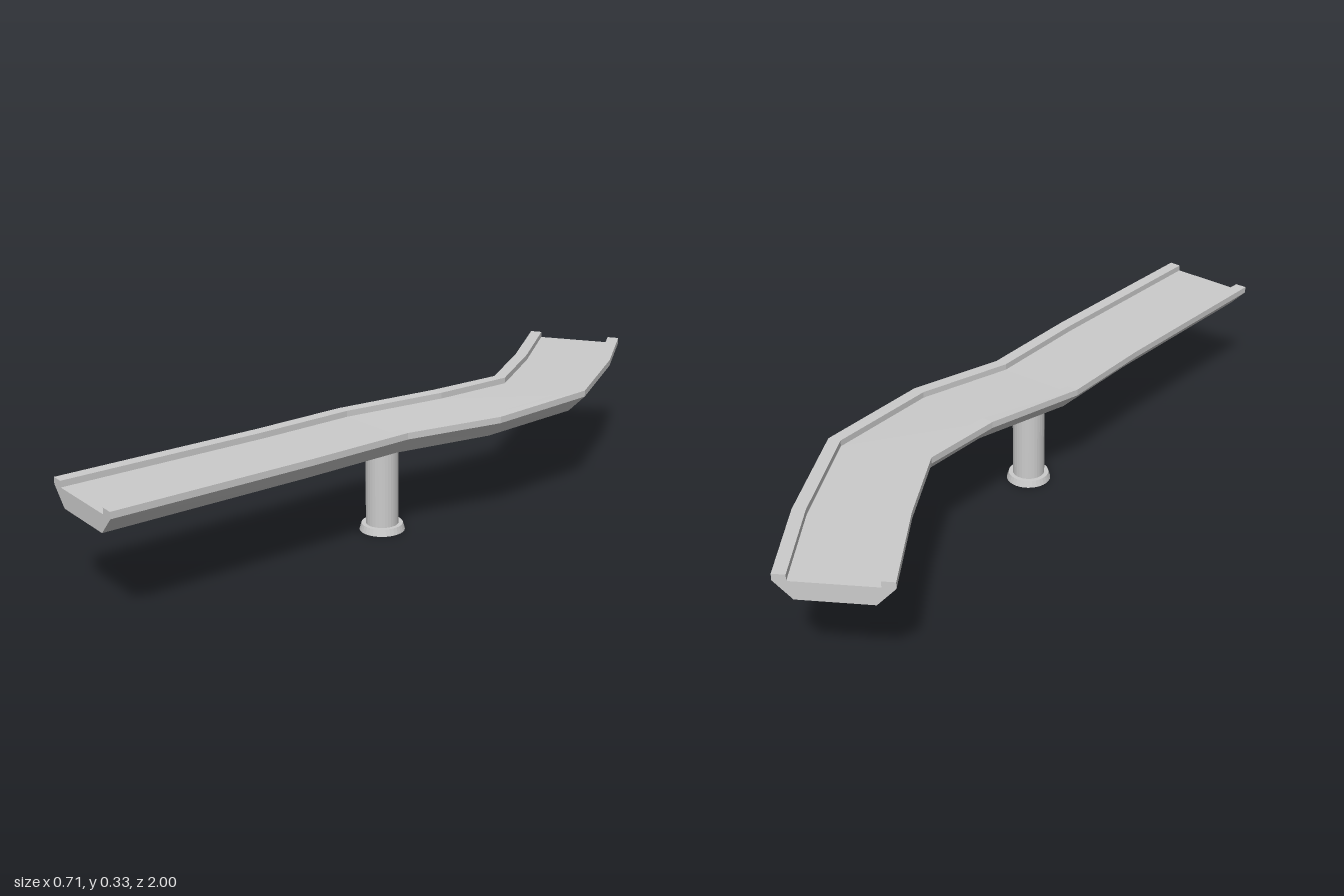
import * as THREE from 'three';

// Stations along the bridge: west edge x, z, top y, then east edge x, z, top y
const STATIONS = [
  [-0.354, 0.915, 0.321, -0.08, 1.0, 0.321],
  [-0.195, 0.36, 0.32, 0.074, 0.45, 0.32],
  [-0.128, 0.085, 0.319, 0.147, 0.15, 0.318],
  [0.003, -0.185, 0.327, 0.28, -0.095, 0.322],
  [0.068, -0.407, 0.325, 0.354, -0.43, 0.325],
  [-0.004, -0.65, 0.325, 0.264, -0.755, 0.325],
  [-0.104, -0.915, 0.325, 0.167, -1.0, 0.325],
];

// Cross-section: fraction across the width, depth below the top of the parapet
const SECTION = [
  [0, 0], [0.12, 0], [0.12, 0.017], [0.88, 0.017], [0.88, 0],
  [1, 0], [1, 0.018], [0.835, 0.067], [0.165, 0.067], [0, 0.018],
];

function deckGeometry() {
  const n = SECTION.length;
  const pos = [];
  const index = [];
  for (const [wx, wz, wy, ex, ez, ey] of STATIONS) {
    for (const [u, d] of SECTION) {
      pos.push(wx + (ex - wx) * u, wy + (ey - wy) * u - d, wz + (ez - wz) * u);
    }
  }
  const quad = (a, b, c, d) => index.push(a, b, c, a, c, d);
  // Skin between stations
  for (let s = 0; s < STATIONS.length - 1; s++) {
    for (let i = 0; i < n; i++) {
      const j = (i + 1) % n;
      quad(s * n + i, s * n + j, (s + 1) * n + j, (s + 1) * n + i);
    }
  }
  // End caps
  const last = (STATIONS.length - 1) * n;
  for (const [a, b, c, d] of [[9, 0, 1, 2], [3, 4, 5, 6], [2, 3, 6, 9], [9, 6, 7, 8]]) {
    quad(d, c, b, a);
    quad(last + a, last + b, last + c, last + d);
  }
  const geo = new THREE.BufferGeometry();
  geo.setAttribute('position', new THREE.Float32BufferAttribute(pos, 3));
  geo.setIndex(index);
  const flat = geo.toNonIndexed();
  flat.computeVertexNormals();
  return flat;
}

export function createModel() {
  const model = new THREE.Group();
  const material = new THREE.MeshStandardMaterial({ color: 0xcccccc, flatShading: true });

  // Winding deck with raised parapets
  const deck = new THREE.Mesh(deckGeometry(), material);
  deck.name = 'bridgeDeck';
  model.add(deck);

  // Supporting pillar with flared foot and collar
  const pillar = new THREE.Group();
  pillar.name = 'pillar';
  pillar.position.set(0.02, 0, 0.09);
  const parts = [
    ['pillarFoot', 0.057, 0.0625, 0, 0.019],
    ['pillarShaft', 0.045, 0.045, 0.019, 0.236],
    ['pillarCollar', 0.0625, 0.057, 0.236, 0.254],
  ];
  for (const [name, top, bottom, y0, y1] of parts) {
    const mesh = new THREE.Mesh(new THREE.CylinderGeometry(top, bottom, y1 - y0, 32), material);
    mesh.name = name;
    mesh.position.y = (y0 + y1) / 2;
    pillar.add(mesh);
  }
  model.add(pillar);
  return model;
}
